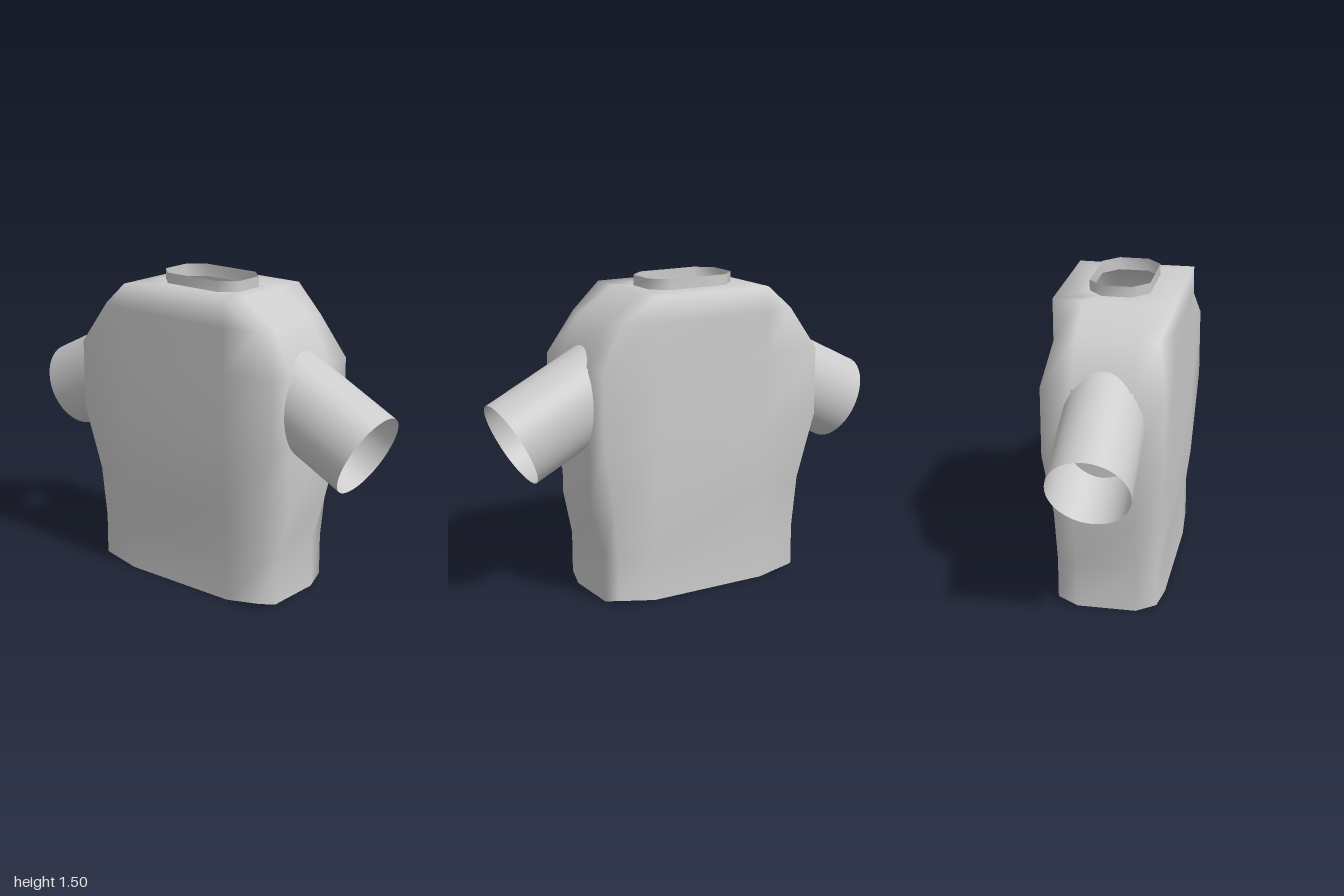
import * as THREE from 'three';
import { mergeVertices } from 'three/addons/utils/BufferGeometryUtils.js';

// One quarter of a ring: a = end-panel edge, k = corner, c = side-panel edge, each [x, y, z].
// Mirrored into a 12-point ring running from +z towards +x.
function ring([a, k, c]) {
  const quarter = (pts, sx, sz) => pts.map(([x, y, z]) => [x * sx, y, z * sz]);
  return [
    ...quarter([a, k, c], 1, 1), ...quarter([c, k, a], 1, -1),
    ...quarter([a, k, c], -1, -1), ...quarter([c, k, a], -1, 1),
  ];
}

// Skin a stack of rings, leaving out panels that are holes.
function loft(rows, isHole = () => false) {
  const rings = rows.map(ring);
  const index = [];
  for (let r = 0; r < rings.length - 1; r++) {
    for (let i = 0; i < 12; i++) {
      if (isHole(r, i)) continue;
      const j = (i + 1) % 12;
      const a = r * 12 + i, b = r * 12 + j, c = b + 12, d = a + 12;
      index.push(a, b, c, a, c, d);
    }
  }
  const geo = new THREE.BufferGeometry();
  geo.setAttribute('position', new THREE.Float32BufferAttribute(rings.flat(2), 3));
  geo.setIndex(index);
  const welded = mergeVertices(geo);
  welded.computeVertexNormals();
  return welded;
}

export function createModel() {
  const model = new THREE.Group();
  model.name = 'shirt';
  const fabric = new THREE.MeshStandardMaterial({ color: 0xcccccc, side: THREE.DoubleSide });
  fabric.name = 'light grey fabric';

  const add = (name, geometry, parent = model) => {
    const mesh = new THREE.Mesh(geometry, fabric);
    mesh.name = name;
    parent.add(mesh);
    return mesh;
  };

  // Torso: hem, waist, chest, shoulders, then the top in to the neck opening
  const torso = [
    [[0.14, 0, 0.51], [0.235, 0.03, 0.49], [0.247, 0, 0.3]],
    [[0.14, 0.23, 0.51], [0.235, 0.23, 0.49], [0.247, 0.23, 0.3]],
    [[0.14, 0.48, 0.58], [0.245, 0.48, 0.51], [0.28, 0.48, 0.3]],
    [[0.14, 0.8, 0.58], [0.28, 0.8, 0.58], [0.28, 0.8, 0.3]],
    [[0.14, 1.13, 0.58], [0.28, 1.13, 0.58], [0.28, 1.13, 0.3]],
    [[0.14, 1.33, 0.48], [0.235, 1.33, 0.46], [0.28, 1.33, 0.3]],
    [[0.14, 1.45, 0.3], [0.28, 1.45, 0.3], [0.28, 1.45, 0.3]],
    [[0.07, 1.45, 0.225], [0.14, 1.45, 0.15], [0.14, 1.45, 0.15]],
  ];
  // Arm holes are the middle end panels at chest height
  add('torso', loft(torso, (r, i) => r === 3 && (i === 5 || i === 11)));

  // Neck band: short octagonal tube
  const neckRow = (y) => [[0.07, y, 0.225], [0.14, y, 0.15], [0.14, y, 0.15]];
  add('neckBand', loft([neckRow(1.44), neckRow(1.5)]));

  // Sleeves: open tubes sloping down and out, reaching inside the torso
  const sleeveGeo = new THREE.CylinderGeometry(1, 1, 0.515, 40, 1, true);
  sleeveGeo.scale(0.19, 1, 0.2125);
  sleeveGeo.rotateX(2.034);
  sleeveGeo.translate(0, 0.905, 0.675);
  add('frontSleeve', sleeveGeo);
  add('backSleeve', sleeveGeo).rotation.y = Math.PI;

  return model;
}
